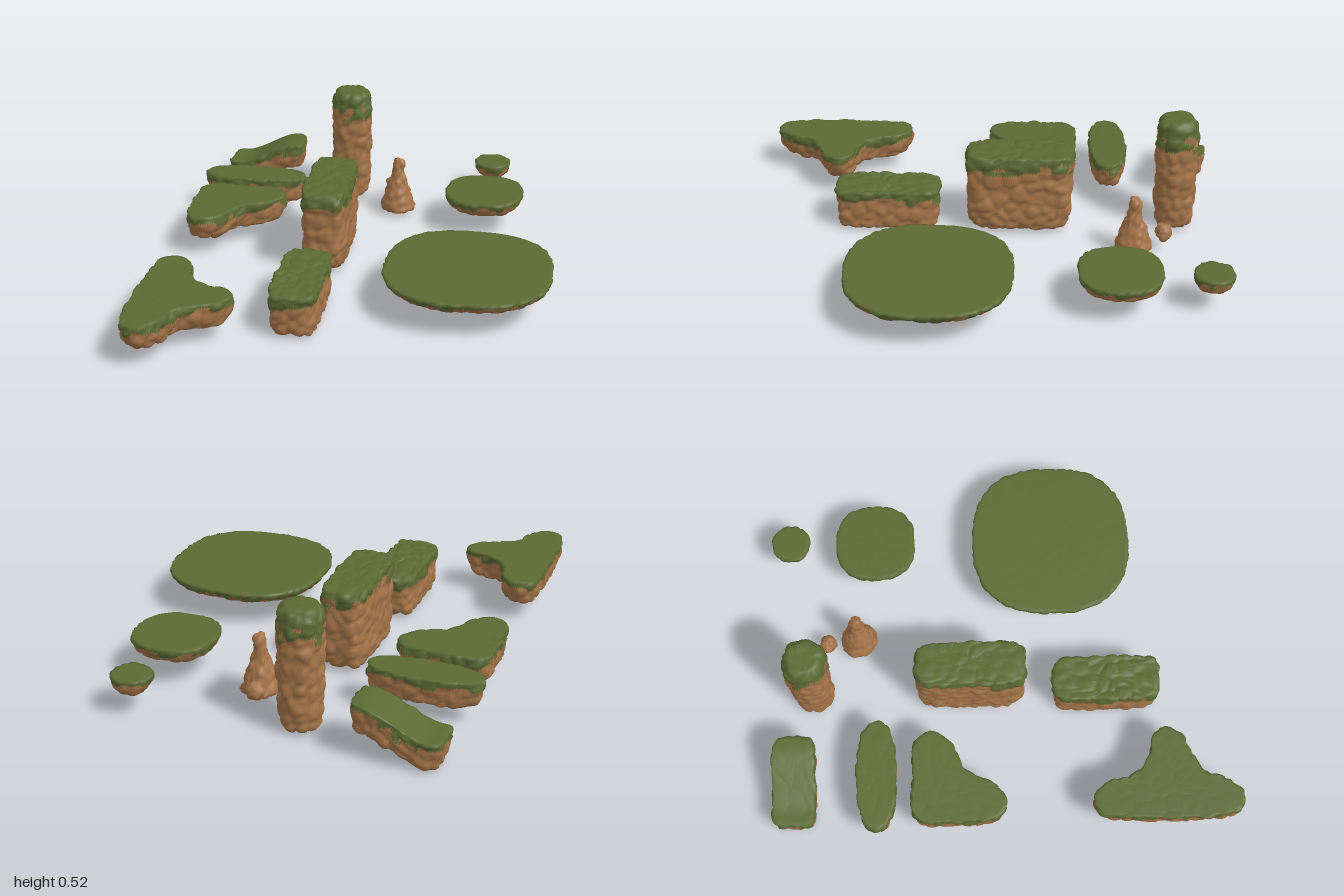
import * as THREE from 'three';

const GRASS = new THREE.MeshStandardMaterial({ color: 0x5c6a34 });
const ROCK = new THREE.MeshStandardMaterial({ color: 0xa5754a });
const STEP = 0.011;

const hash = (x, y, z, k) => {
  const s = Math.sin(x * 127.1 + y * 311.7 + z * 74.7 + k * 53.3) * 43758.5453;
  return s - Math.floor(s);
};

// Cellular noise: rounded stones with creases between them, plus a random number per stone
function stones(p, size) {
  const q = [p.x / size, p.y / size, p.z / size];
  const [cx, cy, cz] = q.map(Math.floor);
  let f1 = 9, f2 = 9, id = 0;
  for (let x = cx - 1; x <= cx + 1; x++)
    for (let y = cy - 1; y <= cy + 1; y++)
      for (let z = cz - 1; z <= cz + 1; z++) {
        const d = Math.hypot(x + hash(x, y, z, 1) - q[0], y + hash(x, y, z, 2) - q[1], z + hash(x, y, z, 3) - q[2]);
        if (d < f1) { f2 = f1; f1 = d; id = hash(x, y, z, 4); }
        else if (d < f2) f2 = d;
      }
  return { bump: Math.sqrt(Math.min((f2 - f1) / 0.45, 1)) + 0.5 * (id - 0.5), id };
}

// Superellipse outline as [x, z] points
function oval(cx, cz, rx, rz, power) {
  const pts = [];
  const bend = (v) => Math.sign(v) * Math.abs(v) ** (2 / power);
  for (let i = 0; i < 48; i++) {
    const a = (i / 48) * Math.PI * 2;
    pts.push([cx + rx * bend(Math.cos(a)), cz + rz * bend(Math.sin(a))]);
  }
  return pts;
}

// Profiles from bottom centre to top centre: [scale of outline, share of height]
const SLAB = [[0, 0], [0.78, 0], [0.91, 0.14], [0.97, 0.45], [1, 0.75], [0.99, 0.93], [0.95, 1], [0, 1]];
const DISC = [[0, 0], [0.4, 0.06], [0.72, 0.25], [0.91, 0.5], [1, 0.82], [0.99, 0.95], [0.96, 1], [0, 1]];
const BLOCK = [[0, 0], [0.76, 0], [0.9, 0.06], [0.95, 0.2], [0.97, 0.75], [1, 0.9], [0.98, 0.96], [0.91, 1], [0, 1]];
const PILLAR = [[0, 0], [0.65, 0], [0.86, 0.04], [0.93, 0.2], [1, 0.7], [1, 0.88], [0.9, 0.96], [0.68, 1], [0, 1]];
const SPIRE = [[0, 0], [0.85, 0], [1, 0.06], [0.88, 0.2], [0.68, 0.42], [0.48, 0.6], [0.35, 0.75], [0.36, 0.88], [0.24, 0.98], [0, 1]];
const BOULDER = [[0, 0], [0.6, 0.08], [0.95, 0.35], [0.95, 0.65], [0.6, 0.92], [0, 1]];

function makeRock({ name, outline, center, profile, y0, y1, moss = 0, bump = 0.014, topBump = 0.08, size = 0.06, lift }) {
  const [cx, cz] = center;
  const edge = new THREE.CatmullRomCurve3(outline.map(([x, z]) => new THREE.Vector3(x, 0, z)), true);
  const N = Math.ceil(edge.getLength() / STEP);
  const rim = edge.getSpacedPoints(N);
  const radius = rim.reduce((s, p) => s + Math.hypot(p.x - cx, p.z - cz), 0) / rim.length;
  const side = new THREE.CatmullRomCurve3(
    profile.map(([s, h]) => new THREE.Vector3(s * radius, y0 + h * (y1 - y0), 0)), false, 'catmullrom', 0.2);
  const M = Math.ceil(side.getLength() / STEP);
  const rings = side.getSpacedPoints(M);

  // Rings of the outline, closed by one vertex at each pole
  const last = 1 + (M - 1) * N;
  const id = (i, j) => (i === 0 ? 0 : i === M ? last : 1 + (i - 1) * N + (j % N));
  const pos = [cx, y0, cz];
  for (let i = 1; i < M; i++)
    for (let j = 0; j < N; j++) {
      const s = rings[i].x / radius;
      pos.push(cx + (rim[j].x - cx) * s, rings[i].y, cz + (rim[j].z - cz) * s);
    }
  pos.push(cx, y1, cz);
  const faces = [];
  for (let i = 0; i < M; i++)
    for (let j = 0; j < N; j++) {
      const a = id(i, j), b = id(i, j + 1), c = id(i + 1, j), d = id(i + 1, j + 1);
      if (i > 0) faces.push([a, c, b]);
      if (i < M - 1) faces.push([b, c, d]);
    }
  const geo = new THREE.BufferGeometry();
  geo.setAttribute('position', new THREE.Float32BufferAttribute(pos, 3));
  geo.setIndex(faces.flat());
  geo.computeVertexNormals();

  // Push the skin out into stones; stones near the top are mossy
  const P = geo.attributes.position, normals = geo.attributes.normal;
  const mossy = [];
  const p = new THREE.Vector3(), n = new THREE.Vector3();
  for (let i = 0; i < P.count; i++) {
    p.fromBufferAttribute(P, i);
    n.fromBufferAttribute(normals, i);
    const cell = stones(p, size);
    mossy.push(moss > 0 && p.y > y1 - moss * (0.5 + cell.id) ? 1 : 0);
    const flat = THREE.MathUtils.smoothstep(n.y, 0.6, 0.95);
    p.addScaledVector(n, (cell.bump - 0.75) * bump * THREE.MathUtils.lerp(1, topBump, flat));
    if (lift) p.y += lift(p.x);
    P.setXYZ(i, p.x, p.y, p.z);
  }
  geo.computeVertexNormals();

  // Split into grass and rock that share the same skin
  const group = new THREE.Group();
  group.name = name;
  const isGrass = (f) => mossy[f[0]] + mossy[f[1]] + mossy[f[2]] > 1;
  const add = (part, material, list) => {
    if (!list.length) return;
    const g = new THREE.BufferGeometry();
    g.setAttribute('position', P);
    g.setAttribute('normal', geo.attributes.normal);
    g.setIndex(list.flat());
    const mesh = new THREE.Mesh(g, material);
    mesh.name = name + part;
    group.add(mesh);
  };
  add('Grass', GRASS, faces.filter(isGrass));
  add('Stone', ROCK, faces.filter((f) => !isGrass(f)));
  return group;
}

export function createModel() {
  const model = new THREE.Group();
  model.name = 'floatingIslands';
  const round = (name, cx, cz, rx, rz, power, rest) =>
    model.add(makeRock({ name, outline: oval(cx, cz, rx, rz, power), center: [cx, cz], ...rest }));

  // Round islands
  const disc = { profile: DISC, moss: 0.03, bump: 0.008, size: 0.05, topBump: 0.05 };
  round('largeDisc', 0.472, 0.225, 0.347, 0.345, 2.5, { ...disc, y0: 0.075, y1: 0.173 });
  round('mediumDisc', 0.47, -0.545, 0.175, 0.174, 2.5, { ...disc, y0: 0.08, y1: 0.18 });
  round('smallDisc', 0.477, -0.918, 0.083, 0.083, 2.2, { ...disc, y0: 0.085, y1: 0.173 });

  // Flat path islands
  const slab = { profile: SLAB, moss: 0.035, y0: 0.08, y1: 0.198 };
  round('ovalSlab', -0.585, -0.535, 0.238, 0.084, 2.4, slab);
  round('rampSlab', -0.603, -0.88, 0.185, 0.092, 5, {
    ...slab, y0: 0.01, y1: 0.135, lift: (x) => 0.1 * THREE.MathUtils.smoothstep(x, -0.74, -0.46),
  });
  model.add(makeRock({
    name: 'cornerSlab', ...slab, center: [-0.7, -0.28],
    outline: [[-0.78, -0.37], [-0.6, -0.385], [-0.44, -0.375], [-0.395, -0.3], [-0.45, -0.22], [-0.56, -0.17],
      [-0.61, -0.08], [-0.66, -0.01], [-0.72, 0.01], [-0.78, -0.03], [-0.795, -0.2]],
  }));
  model.add(makeRock({
    name: 'junctionSlab', ...slab, center: [-0.69, 0.68],
    outline: [[-0.71, 0.36], [-0.64, 0.41], [-0.61, 0.53], [-0.53, 0.6], [-0.43, 0.63], [-0.395, 0.68],
      [-0.43, 0.74], [-0.5, 0.78], [-0.59, 0.83], [-0.64, 0.94], [-0.7, 0.995], [-0.77, 0.97],
      [-0.795, 0.85], [-0.79, 0.5], [-0.77, 0.39]],
  }));

  // Blocks and pillar
  round('tallBlock', -0.165, -0.135, 0.1, 0.236, 5, { profile: BLOCK, y0: 0.025, y1: 0.378, moss: 0.055, topBump: 0.5 });
  round('lowBlock', -0.183, 0.44, 0.102, 0.232, 5, { profile: BLOCK, y0: 0.015, y1: 0.2, moss: 0.05, topBump: 0.7 });
  round('pillar', -0.183, -0.81, 0.092, 0.092, 2.3, { profile: PILLAR, y0: 0.018, y1: 0.532, moss: 0.1, topBump: 0.3 });

  // Bare spire and the boulder beside it
  const bare = { bump: 0.012, topBump: 1, size: 0.045 };
  round('spire', 0.063, -0.622, 0.081, 0.081, 2, { ...bare, profile: SPIRE, y0: 0.027, y1: 0.28 });
  round('boulder', 0.032, -0.752, 0.042, 0.04, 2, { ...bare, profile: BOULDER, y0: 0.055, y1: 0.135 });
  return model;
}
